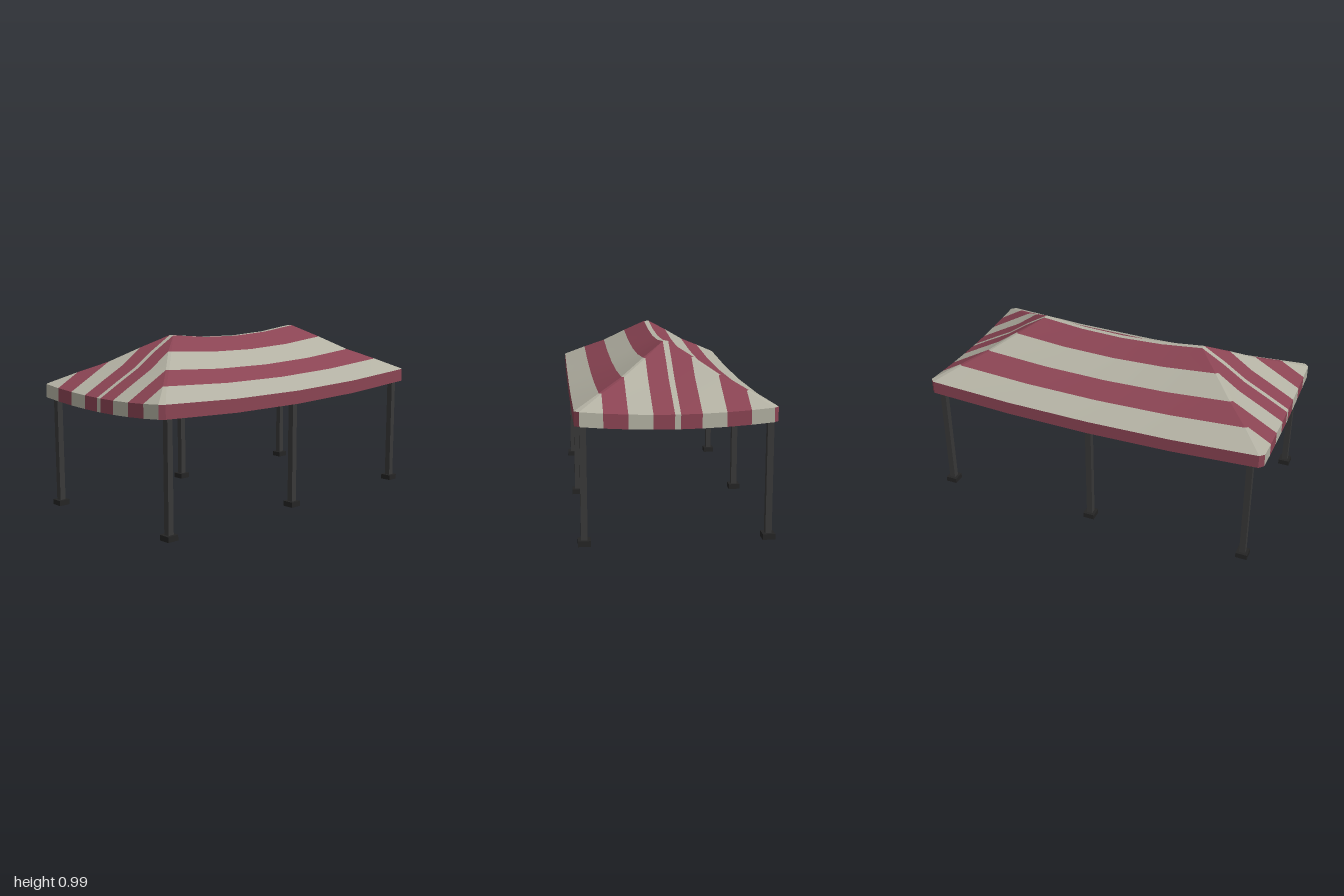
import * as THREE from 'three';

const red = new THREE.MeshStandardMaterial({ color: 0x8a4453, side: THREE.DoubleSide });
const cream = new THREE.MeshStandardMaterial({ color: 0xb2b0a2, side: THREE.DoubleSide });
const poleMat = new THREE.MeshStandardMaterial({ color: 0x383838 });
const baseMat = new THREE.MeshStandardMaterial({ color: 0x242424 });

// Roof levels from ridge to eave: z of the long side, x of the end, height, hip bevel
const LEVELS = [
  { z: 0.015, x: 0.49, y: 0.985, c: 0 },
  { z: 0.135, x: 0.62, y: 0.914, c: 0.012 },
  { z: 0.26, x: 0.745, y: 0.835, c: 0.012 },
  { z: 0.385, x: 0.87, y: 0.775, c: 0.013 },
  { z: 0.515, x: 1, y: 0.71, c: 0.025 },
];
const EAVE = 4, DROP = 0.075, SEGS = 4;
const bandMat = (k) => (k % 2 === 0 ? red : cream);

// Sagging point on the long side (u from -1 to 1) and on the end at a given z
function sidePoint(j, u, drop = 0) {
  const L = LEVELS[j];
  return [u * (L.x - L.c), L.y - 0.034 * (1 - u * u) - drop, L.z];
}
function endPoint(j, z, drop = 0) {
  const L = LEVELS[j], u = z / (L.z - L.c);
  return [L.x, L.y - 0.024 * (j / EAVE) * (1 - u * u) - drop, z];
}
const stripeZ = (k) => LEVELS[k].z - LEVELS[k].c;

// Surface from rows of points, top to bottom, each row left to right seen from outside
function sheet(name, rows, material) {
  const n = rows[0].length, index = [];
  for (let r = 0; r < rows.length - 1; r++) {
    for (let i = 0; i < n - 1; i++) {
      const a = r * n + i, b = a + 1, c = a + n, d = c + 1;
      index.push(a, c, b, b, c, d);
    }
  }
  const geo = new THREE.BufferGeometry();
  geo.setAttribute('position', new THREE.Float32BufferAttribute(rows.flat(2), 3));
  geo.setIndex(index);
  geo.computeVertexNormals();
  const mesh = new THREE.Mesh(geo, material);
  mesh.name = name;
  return mesh;
}

const sideRow = (j, drop) =>
  Array.from({ length: SEGS + 1 }, (_, i) => sidePoint(j, (2 * i) / SEGS - 1, drop));

// Hip bevel edge at the corner on side s (+1 or -1)
function hipRow(j, s, drop) {
  const row = [sidePoint(j, 1, drop), endPoint(j, stripeZ(j), drop)];
  row.forEach((p) => { p[2] *= s; });
  return s > 0 ? row : row.reverse();
}

// One long slope, one end slope and its two hips
function canopyHalf() {
  const g = new THREE.Group();
  for (let k = 0; k < EAVE; k++) {
    g.add(sheet('longStripe', [sideRow(k), sideRow(k + 1)], bandMat(k)));
    for (const s of [1, -1]) {
      g.add(sheet('hipStripe', [hipRow(k, s), hipRow(k + 1, s)], bandMat(k)));
      // End stripe runs down from the hip, with its valance piece below
      const zs = [stripeZ(k + 1) * s, stripeZ(k) * s];
      if (s < 0) zs.reverse();
      const tip = endPoint(k, stripeZ(k) * s);
      const rows = [[tip, tip]];
      for (let j = k + 1; j <= EAVE; j++) rows.push(zs.map((z) => endPoint(j, z)));
      g.add(sheet('endStripe', rows, bandMat(k)));
      g.add(sheet('endValance', [0, DROP].map((d) => zs.map((z) => endPoint(EAVE, z, d))), bandMat(k)));
    }
  }
  // Narrow middle stripe of the end
  const mid = [stripeZ(0), -stripeZ(0)];
  g.add(sheet('endMiddleStripe', LEVELS.map((_, j) => mid.map((z) => endPoint(j, z))), cream));
  g.add(sheet('endMiddleValance', [0, DROP].map((d) => mid.map((z) => endPoint(EAVE, z, d))), cream));
  // Long valance and corner pieces
  g.add(sheet('longValance', [sideRow(EAVE, 0), sideRow(EAVE, DROP)], red));
  for (const s of [1, -1]) {
    g.add(sheet('cornerValance', [hipRow(EAVE, s, 0), hipRow(EAVE, s, DROP)], red));
  }
  return g;
}

function box(name, w, h, d, y, material) {
  const mesh = new THREE.Mesh(new THREE.BoxGeometry(w, h, d), material);
  mesh.position.y = y + h / 2;
  mesh.name = name;
  return mesh;
}

export function createModel() {
  const model = new THREE.Group();
  model.name = 'partyTent';

  const canopy = new THREE.Group();
  canopy.name = 'canopy';
  for (const [name, turn] of [['canopyFrontHalf', 0], ['canopyBackHalf', Math.PI]]) {
    const half = canopyHalf();
    half.name = name;
    half.rotation.y = turn;
    canopy.add(half);
  }
  // Flat strip along the ridge
  const front = sideRow(0);
  canopy.add(sheet('ridgeStrip', [front.map(([x, y, z]) => [x, y, -z]), front], cream));
  model.add(canopy);

  // Six poles on square feet
  for (const x of [-0.927, 0, 0.927]) {
    for (const z of [0.472, -0.486]) {
      const leg = new THREE.Group();
      leg.name = 'leg';
      leg.add(box('pole', 0.034, x === 0 ? 0.62 : 0.65, 0.034, 0, poleMat));
      leg.add(box('foot', 0.066, 0.03, 0.066, 0, baseMat));
      leg.position.set(x, 0, z);
      model.add(leg);
    }
  }
  return model;
}
